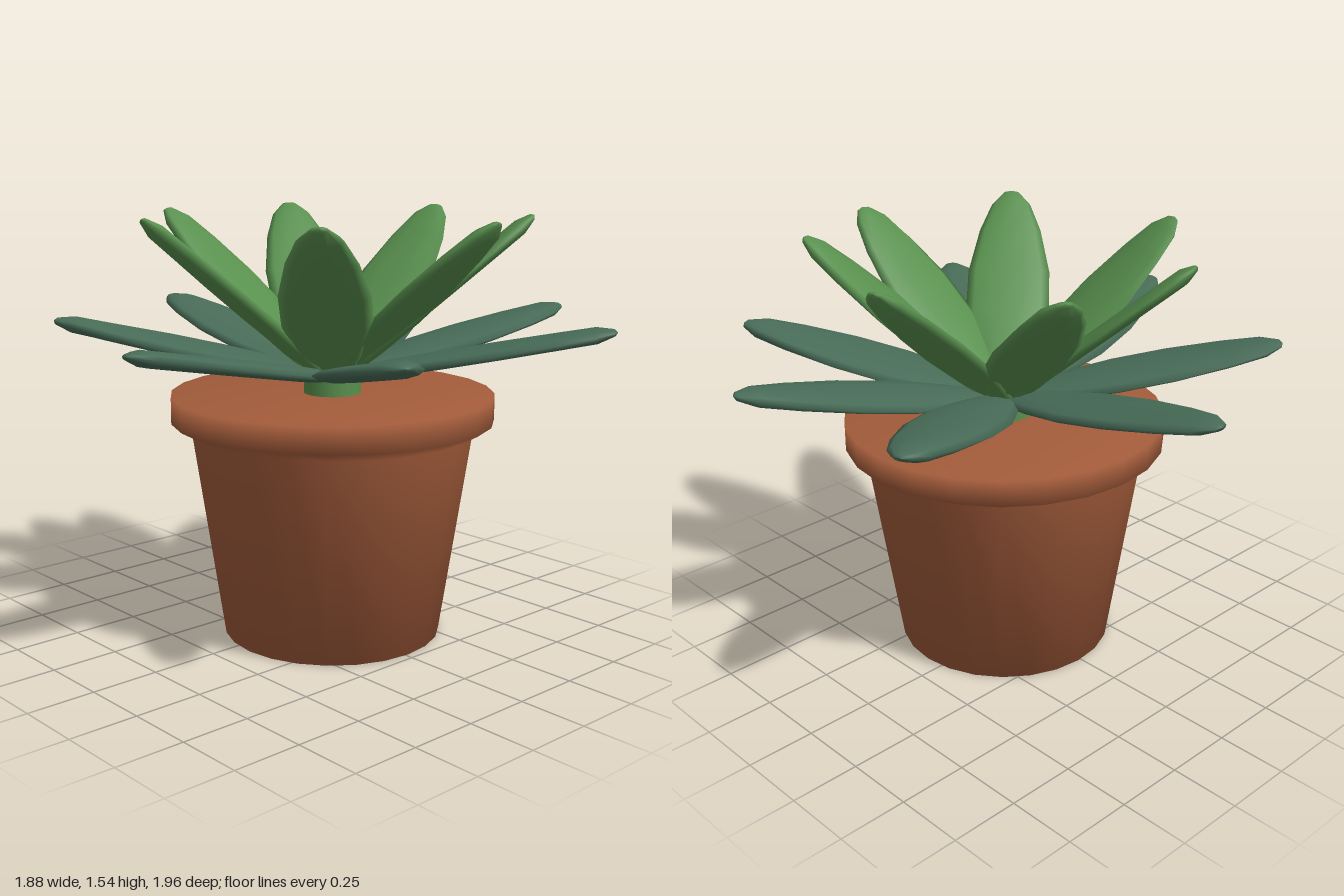
import * as THREE from 'three';

const terracotta = new THREE.MeshStandardMaterial({ color: 0xa35c3b });
terracotta.name = 'terracotta';
const deepGreen = new THREE.MeshStandardMaterial({ color: 0x486c58 });
deepGreen.name = 'deepGreen';
const freshGreen = new THREE.MeshStandardMaterial({ color: 0x588f4e });
freshGreen.name = 'freshGreen';

// Fleshy leaf of unit length along +x, lofted from flattened oval rings
function leafGeometry() {
  // distance along the leaf, half width
  const stations = [[0, 0], [0, 0.05], [0.2, 0.115], [0.4, 0.157], [0.6, 0.155],
    [0.8, 0.118], [0.93, 0.075], [0.99, 0.03], [1, 0]];
  const sides = 10;
  const position = [];
  const index = [];
  for (const [x, w] of stations) {
    const h = Math.min(0.028, w * 0.4);
    for (let j = 0; j < sides; j++) {
      const a = (j / sides) * Math.PI * 2;
      position.push(x, Math.sin(a) * h, Math.cos(a) * w);
    }
  }
  for (let i = 0; i < stations.length - 1; i++) {
    for (let j = 0; j < sides; j++) {
      const k = (j + 1) % sides;
      const a = i * sides + j, b = i * sides + k;
      index.push(a, a + sides, b, b, a + sides, b + sides);
    }
  }
  const geometry = new THREE.BufferGeometry();
  geometry.setAttribute('position', new THREE.Float32BufferAttribute(position, 3));
  geometry.setIndex(index);
  geometry.computeVertexNormals();
  return geometry;
}

// Ring of leaves pointing at the given headings (degrees from +x towards +z)
function leafRing(name, material, headings, baseY, length, tilt) {
  const ring = new THREE.Group();
  ring.name = name;
  const geometry = leafGeometry();
  headings.forEach((deg, i) => {
    const leaf = new THREE.Mesh(geometry, material);
    leaf.name = `${name}Leaf${i + 1}`;
    leaf.scale.x = length;
    leaf.rotation.set(0, -THREE.MathUtils.degToRad(deg), tilt);
    leaf.position.y = baseY;
    ring.add(leaf);
  });
  return ring;
}

export function createModel() {
  const model = new THREE.Group();
  model.name = 'pottedSucculent';
  const plant = new THREE.Group();
  plant.name = 'plantAndPot';
  plant.position.set(0.07, 0, -0.01);
  model.add(plant);

  // Tapered pot with a flared rim, closed by a flat top
  const profile = [[0, 0], [0.4, 0], [0.513, 0.76], [0.587, 0.8], [0.587, 0.895], [0, 0.895]]
    .map(([r, y]) => new THREE.Vector2(r, y));
  const pot = new THREE.Mesh(new THREE.LatheGeometry(profile, 24), terracotta);
  pot.name = 'pot';
  plant.add(pot);

  // Short stem under the leaves
  const stem = new THREE.Mesh(new THREE.CylinderGeometry(0.105, 0.105, 0.09, 14), freshGreen);
  stem.name = 'stem';
  stem.position.y = 0.92;
  plant.add(stem);

  plant.add(leafRing('outer', deepGreen, [181, 133, 81, 30.5, -32.5, -75, -119], 0.95, 1.025, 0.2));
  plant.add(leafRing('inner', freshGreen, [-102, -42, -6, 46, 107, 160, -152], 0.93, 0.93, 0.71));
  return model;
}
